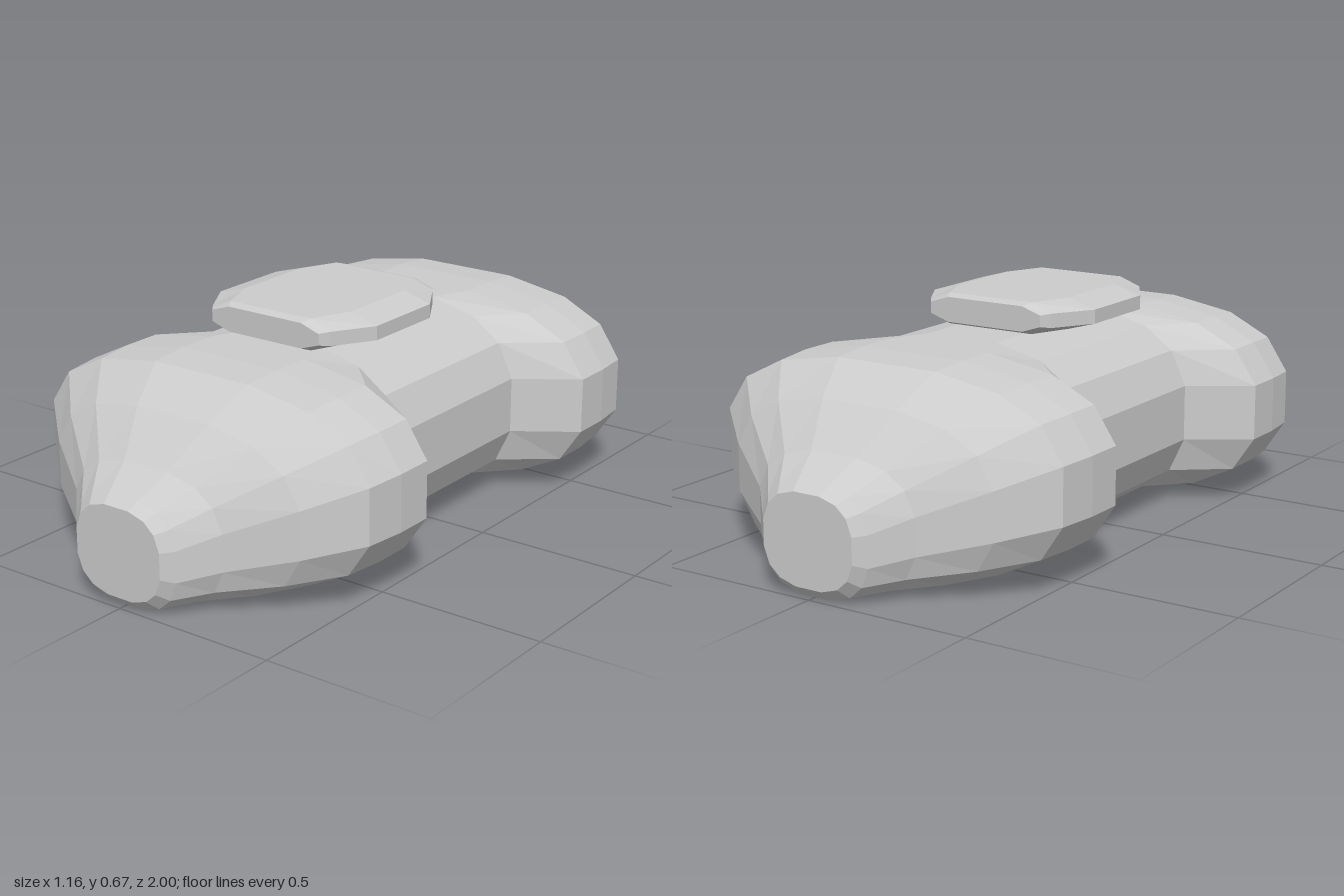
import * as THREE from 'three';

// Mirror one quadrant of points (from side to top) into a full counter-clockwise ring
function ringFrom(quadrant) {
  const rev = [...quadrant].reverse();
  return [
    ...quadrant,
    ...rev.map(([x, y]) => [-x, y]),
    ...quadrant.map(([x, y]) => [-x, -y]),
    ...rev.map(([x, y]) => [x, -y]),
  ];
}

// Loft a unit ring through sections [z, halfWidth, bottom, top], ordered by rising z, with flat end caps
function loft(ring, sections) {
  const n = ring.length;
  const positions = [];
  const index = [];
  for (const [z, halfWidth, bottom, top] of sections) {
    for (const [x, y] of ring) {
      positions.push(x * halfWidth, (bottom + top) / 2 + y * (top - bottom) / 2, z);
    }
  }
  for (let s = 0; s < sections.length - 1; s++) {
    for (let j = 0; j < n; j++) {
      const a = s * n + j, b = s * n + (j + 1) % n;
      index.push(a, b, b + n, a, b + n, a + n);
    }
  }
  const last = (sections.length - 1) * n;
  for (let j = 1; j < n - 1; j++) {
    index.push(0, j + 1, j);
    index.push(last, last + j, last + j + 1);
  }
  const geometry = new THREE.BufferGeometry();
  geometry.setAttribute('position', new THREE.Float32BufferAttribute(positions, 3));
  geometry.setIndex(index);
  const flat = geometry.toNonIndexed();
  flat.computeVertexNormals();
  return flat;
}

// Repeat the sections of the front half, listed from the nose inwards, for the back half
function mirrorSections(half) {
  return [
    ...half.map(([z, ...rest]) => [-z, ...rest]),
    ...[...half].reverse(),
  ];
}

export function createModel() {
  const group = new THREE.Group();
  const material = new THREE.MeshStandardMaterial({ color: 0xcccccc, flatShading: true });

  // Body: two wide bulges with blunt noses, joined by a narrow waist
  const bodyRing = ringFrom([[1, 0.29], [0.88, 0.65], [0.65, 0.88], [0.29, 1]]);
  const body = new THREE.Mesh(loft(bodyRing, mirrorSections([
    [1.0, 0.147, 0.03, 0.29],
    [0.97, 0.175, 0.0, 0.31],
    [0.88, 0.26, 0.0, 0.37],
    [0.77, 0.43, 0.0, 0.48],
    [0.65, 0.565, 0.005, 0.567],
    [0.53, 0.58, 0.002, 0.575],
    [0.41, 0.58, 0.002, 0.575],
    [0.29, 0.405, 0.002, 0.575],
  ])), material);
  body.name = 'body';
  group.add(body);

  // Top plate: bevelled slab resting on the waist, slightly towards the front
  const plateRing = ringFrom([[1, 0.45], [0.68, 1]]);
  const plate = new THREE.Mesh(loft(plateRing, mirrorSections([
    [0.277, 0.19, 0.588, 0.662],
    [0.25, 0.21, 0.578, 0.67],
    [0.13, 0.282, 0.578, 0.67],
  ])), material);
  plate.name = 'topPlate';
  plate.position.z = 0.098;
  group.add(plate);

  return group;
}
